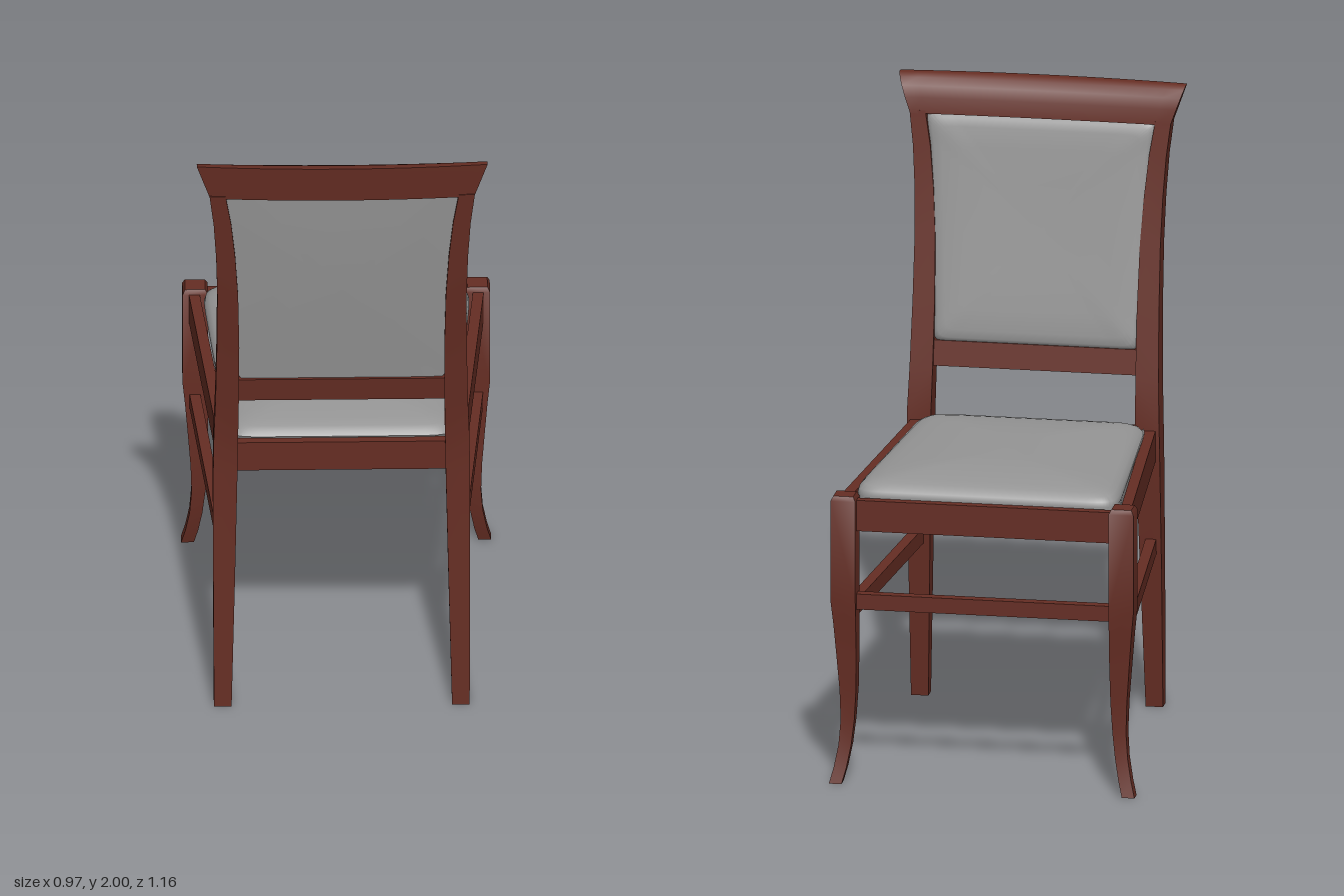
import * as THREE from 'three';
import { toCreasedNormals } from 'three/addons/utils/BufferGeometryUtils.js';

const wood = new THREE.MeshStandardMaterial({ name: 'red brown wood', color: 0x652d23 });
const fabric = new THREE.MeshStandardMaterial({ name: 'grey upholstery', color: 0x969696 });

// Closed solid through rings of equal point count, with fan caps at both ends
function loft(rings, crease = 0.6) {
  const n = rings[0].length, pos = rings.flat(2), idx = [];
  const last = (rings.length - 1) * n;
  for (let r = 0; r < rings.length - 1; r++) {
    for (let i = 0; i < n; i++) {
      const a = r * n + i, b = r * n + (i + 1) % n;
      idx.push(a, b, a + n, b, b + n, a + n);
    }
  }
  for (const [base, ring, flip] of [[0, rings[0], true], [last, rings[rings.length - 1], false]]) {
    const c = pos.length / 3;
    for (let k = 0; k < 3; k++) pos.push(ring.reduce((s, p) => s + p[k], 0) / n);
    for (let i = 0; i < n; i++) {
      const a = base + i, b = base + (i + 1) % n;
      idx.push(...(flip ? [b, a, c] : [a, b, c]));
    }
  }
  // Turn the faces outward when the enclosed volume is negative
  const p = i => new THREE.Vector3().fromArray(pos, i * 3);
  const origin = p(0);
  let volume = 0;
  for (let i = 0; i < idx.length; i += 3) {
    const [a, b, c] = [0, 1, 2].map(k => p(idx[i + k]).sub(origin));
    volume += a.dot(b.cross(c));
  }
  if (volume < 0) idx.reverse();
  const g = new THREE.BufferGeometry();
  g.setAttribute('position', new THREE.Float32BufferAttribute(pos, 3));
  g.setIndex(idx);
  return toCreasedNormals(g, crease);
}

// Horizontal rectangle, and a rounded square outline in the range -1..1
const rect = (y, x0, x1, z0, z1) => [[x0, y, z0], [x1, y, z0], [x1, y, z1], [x0, y, z1]];
const rounded = (n, count = 64) => Array.from({ length: count }, (_, i) => {
  const t = ((i + 0.5) / count) * Math.PI * 2;
  const f = v => Math.sign(v) * Math.abs(v) ** (2 / n);
  return [f(Math.cos(t)), f(Math.sin(t))];
});

// Back post stations: y, inner x, outer x, z toward the seat, z at the rear
const POST = [
  [0, 0.345, 0.4, 0.43, 0.48], [0.45, 0.334, 0.402, 0.393, 0.459], [0.82, 0.326, 0.402, 0.36, 0.442],
  [0.95, 0.324, 0.4, 0.357, 0.442], [1.09, 0.322, 0.395, 0.376, 0.456], [1.3, 0.321, 0.391, 0.408, 0.482],
  [1.5, 0.325, 0.39, 0.439, 0.509], [1.65, 0.334, 0.394, 0.461, 0.528], [1.78, 0.347, 0.402, 0.477, 0.543],
  [1.89, 0.365, 0.415, 0.489, 0.555],
];
function post(y, k) {
  let i = 1;
  while (i < POST.length - 1 && POST[i][0] < y) i++;
  const [a, b] = [POST[i - 1], POST[i]];
  return THREE.MathUtils.lerp(a[k], b[k], (y - a[0]) / (b[0] - a[0]));
}

// Front leg stations: y, inner x, outer x (the same offsets apply in depth)
const LEG = [
  [0, 0.445, 0.485], [0.05, 0.432, 0.472], [0.12, 0.419, 0.459], [0.2, 0.41, 0.453], [0.3, 0.404, 0.456],
  [0.42, 0.402, 0.465], [0.52, 0.402, 0.473], [0.6, 0.402, 0.481], [0.92, 0.402, 0.481], [0.935, 0.41, 0.473],
];

export function createModel() {
  const chair = new THREE.Group();
  chair.name = 'chair';
  const add = (name, geometry, material = wood) => {
    const mesh = new THREE.Mesh(geometry, material);
    mesh.name = name;
    chair.add(mesh);
    return mesh;
  };
  const box = (name, w, h, d, x, y, z) => add(name, new THREE.BoxGeometry(w, h, d)).position.set(x, y, z);

  // Legs, posts, side rails and side stretchers
  for (const [side, s] of [['left', 1], ['right', -1]]) {
    add(side + 'FrontLeg', loft(LEG.map(([y, i, o]) => rect(y, s * i, s * o, -i - 0.097, -o - 0.097))));
    add(side + 'BackPost', loft(POST.map(([y, i, o, f, b]) => rect(y, s * i, s * o, f, b))));
    const slanted = (name, y0, y1, front, back, w) => add(side + name, loft([y0, y1].map(y => [
      [s * (front - w), y, -0.51], [s * front, y, -0.51], [s * back, y, 0.39], [s * (back - w), y, 0.39],
    ])));
    slanted('SeatRail', 0.82, 0.92, 0.462, 0.386, 0.034);
    slanted('Stretcher', 0.51, 0.56, 0.46, 0.386, 0.034);
  }

  // Cross rails
  box('frontSeatRail', 0.82, 0.1, 0.03, 0, 0.87, -0.54);
  box('backSeatRail', 0.67, 0.1, 0.03, 0, 0.87, 0.405);
  box('frontStretcher', 0.82, 0.05, 0.034, 0, 0.59, -0.54);
  add('lowerBackRail', loft([1.09, 1.17].map(y =>
    rect(y, -0.33, 0.33, post(y, 3) + 0.012, post(y, 4) - 0.008))));

  // Bowed and flared top rail with a rounded upper edge: y, z, amount of bow
  const section = [
    [1.88, 0.487, 0.008], [1.93, 0.492, 0.009], [1.965, 0.503, 0.011], [1.988, 0.518, 0.014],
    [2, 0.537, 0.018], [2, 0.556, 0.022], [1.94, 0.553, 0.02], [1.88, 0.549, 0.018],
  ];
  const steps = Array.from({ length: 17 }, (_, i) => i / 8 - 1);
  add('topRail', loft(steps.map(u => section.map(([y, z, bow]) => {
    const t = (y - 1.88) / 0.12;
    return [u * (0.413 + 0.042 * t), y, z + bow * (1 - u * u)];
  }))));

  // Domed seat cushion tapering toward the back: inset, height
  const seatProfile = [
    [0.3, 0.86], [0.012, 0.86], [0, 0.925], [0.004, 0.94], [0.016, 0.953], [0.035, 0.962],
    [0.07, 0.969], [0.14, 0.977], [0.23, 0.983], [0.32, 0.986],
  ];
  const seatOutline = rounded(14);
  add('seatCushion', loft(seatProfile.map(([inset, h]) => seatOutline.map(([u, v]) => {
    const z = -0.065 + v * (0.458 - inset);
    const x = u * (0.39 - inset) * (1 - 0.083 * (z + 0.065) / 0.458);
    const drop = h > 0.93 ? Math.max(0, z + 0.3) * 0.028 : 0;
    return [x, h - drop, z];
  })), 0.7), fabric);

  // Padded back panel following the posts: scale, depth from the seat side
  const panelProfile = [
    [0.08, 0.056], [0.5, 0.056], [1, 0.056], [1, 0.022], [0.985, 0.012],
    [0.95, 0.005], [0.88, 0.001], [0.7, -0.002], [0.4, -0.003], [0.08, -0.003],
  ];
  const panelOutline = rounded(24, 96);
  add('backPanel', loft(panelProfile.map(([s, d]) => panelOutline.map(([u, v]) => {
    const y = 1.525 + v * s * 0.362;
    const x = u * s * (post(y, 1) + 0.006);
    return [x, y, post(y, 3) + d + 0.008 * (1 - (u * s) ** 2)];
  })), 0.7), fabric);

  return chair;
}
